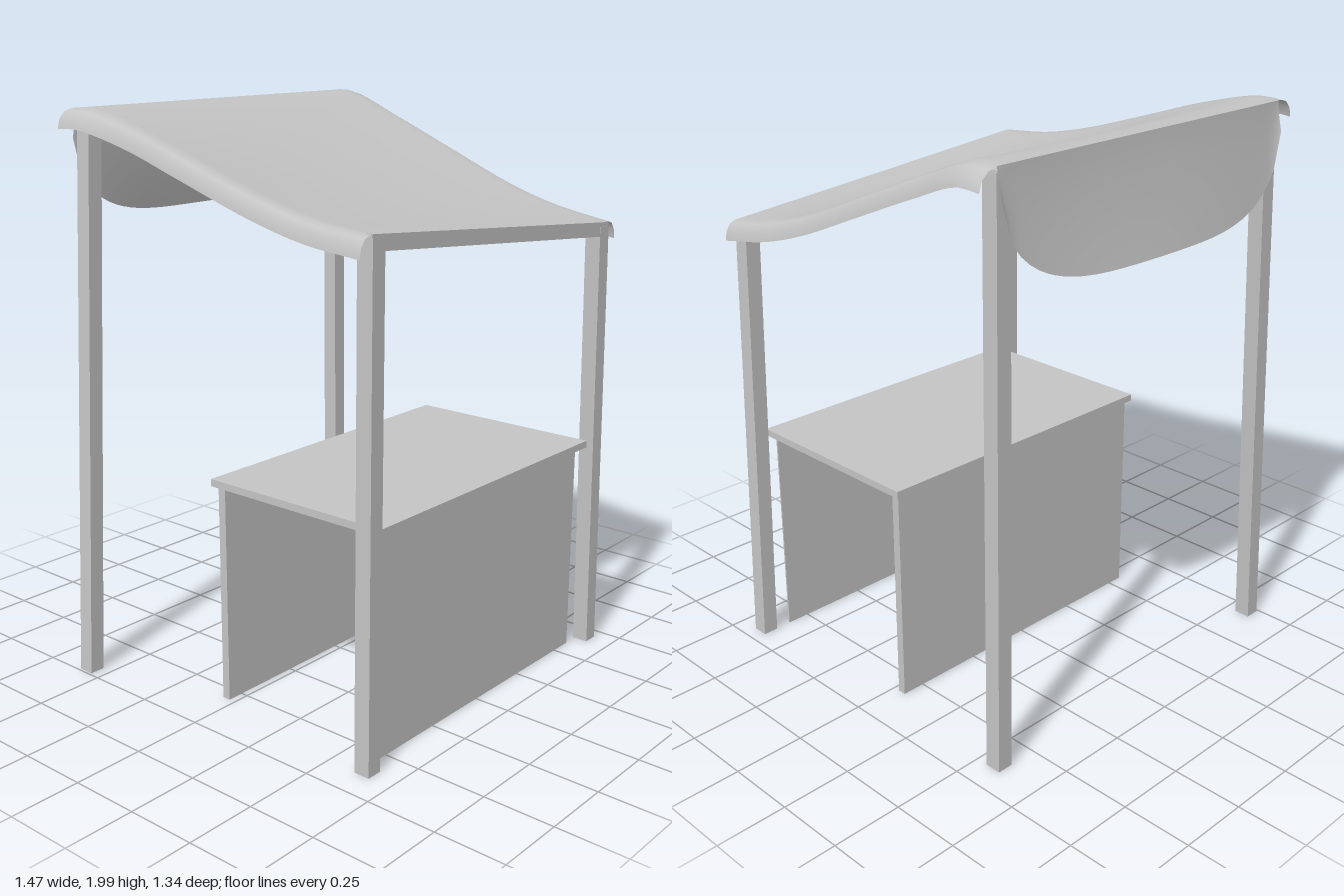
import * as THREE from 'three';

const grey = new THREE.MeshStandardMaterial({ color: 0xc4c4c4, side: THREE.DoubleSide });
grey.name = 'plain grey';

// Move every vertex of a geometry by a rule
function reshape(geometry, rule) {
  const p = geometry.attributes.position;
  const v = new THREE.Vector3();
  for (let i = 0; i < p.count; i++) {
    v.fromBufferAttribute(p, i);
    rule(v);
    p.setXYZ(i, v.x, v.y, v.z);
  }
  geometry.computeVertexNormals();
  return geometry;
}

// Smooth height curve along z through [z, y] points, front to back
function heightCurve(points) {
  const curve = new THREE.CatmullRomCurve3(points.map(([z, y]) => new THREE.Vector3(0, y, z)));
  const samples = curve.getPoints(120);
  return (z) => {
    for (let i = 1; i < samples.length; i++) {
      const a = samples[i - 1], b = samples[i];
      if (z >= b.z) return THREE.MathUtils.lerp(a.y, b.y, Math.min(1, Math.max(0, (a.z - z) / (a.z - b.z))));
    }
    return samples[samples.length - 1].y;
  };
}

export function createModel() {
  const group = new THREE.Group();
  const add = (name, geometry) => {
    const mesh = new THREE.Mesh(geometry, grey);
    mesh.name = name;
    group.add(mesh);
  };
  // Box given by its limits on each axis
  const box = (x0, x1, y0, y1, z0, z1) =>
    new THREE.BoxGeometry(x1 - x0, y1 - y0, z1 - z0).translate((x0 + x1) / 2, (y0 + y1) / 2, (z0 + z1) / 2);

  // Posts, two of them leaning outwards at the foot
  const posts = [
    ['frontRightPost', -0.62, -0.615, 0.64, 1.69],
    ['frontLeftPost', 0.673, 0.628, 0.64, 1.575],
    ['backRightPost', -0.713, -0.61, -0.572, 1.97],
    ['backLeftPost', 0.63, 0.63, -0.572, 1.97],
  ];
  for (const [name, footX, topX, z, height] of posts) {
    add(name, reshape(box(-0.028, 0.028, 0, height, z - 0.029, z + 0.029), (v) => {
      v.x += THREE.MathUtils.lerp(footX, topX, v.y / height);
    }));
  }

  // Sloping front beam and level back beam
  add('frontBeam', reshape(box(-0.643, 0.656, -0.05, 0, 0.61, 0.668), (v) => {
    v.y += 1.645 - 0.088 * v.x;
  }));
  add('backBeam', box(-0.635, 0.655, 1.925, 1.975, -0.6, -0.545));

  // Counter
  add('counterTop', box(-0.58, 0.6, 0.775, 0.8, -0.07, 0.655));
  add('counterFrontPanel', box(-0.56, 0.585, 0, 0.775, 0.612, 0.618));
  add('counterBackPanel', box(-0.56, 0.585, 0, 0.775, -0.055, -0.025));

  // Sagging canopy with its sides turned down
  const rightHeight = heightCurve([[0.668, 1.7], [0.46, 1.722], [0.25, 1.77], [-0.07, 1.87], [-0.29, 1.94], [-0.52, 1.993], [-0.605, 1.99]]);
  const leftHeight = heightCurve([[0.668, 1.59], [0.45, 1.63], [0.25, 1.69], [-0.07, 1.82], [-0.29, 1.91], [-0.52, 1.993], [-0.605, 1.99]]);
  add('canopy', reshape(new THREE.PlaneGeometry(2, 1, 40, 32).rotateX(-Math.PI / 2), (v) => {
    const side = Math.sign(v.x);
    const across = Math.min(Math.abs(v.x) / 0.85, 1);
    const turn = Math.max(0, (Math.abs(v.x) - 0.85) / 0.15);
    const back = 0.5 - v.z;
    v.z = 0.668 - 1.273 * back;
    const flare = Math.exp(-(((v.z + 0.56) / 0.16) ** 2)) * (side > 0 ? 0.03 : 0.018);
    v.x = side * (0.655 * across + (0.045 + flare) * Math.sin(turn * Math.PI / 2));
    const mix = 0.5 + 0.5 * side * across;
    const sag = 0.03 * (1 - across * across) * Math.sin(Math.PI * back);
    v.y = THREE.MathUtils.lerp(rightHeight(v.z), leftHeight(v.z), mix) - sag
      - 0.065 * (1 - Math.cos(turn * Math.PI / 2));
  }));

  // Rounded flap hanging at the back
  add('backFlap', reshape(new THREE.PlaneGeometry(2, 1, 40, 10), (v) => {
    const s = -v.x;
    const down = 0.5 - v.y;
    const length = 0.1 + 0.28 * Math.sqrt(1 - s ** 4);
    v.x = 0.01 + s * 0.65;
    v.y = 1.99 - length * down;
    v.z = -0.605 - (0.02 + 0.042 * (1 - s * s)) * down ** 1.3;
  }));

  return group;
}
